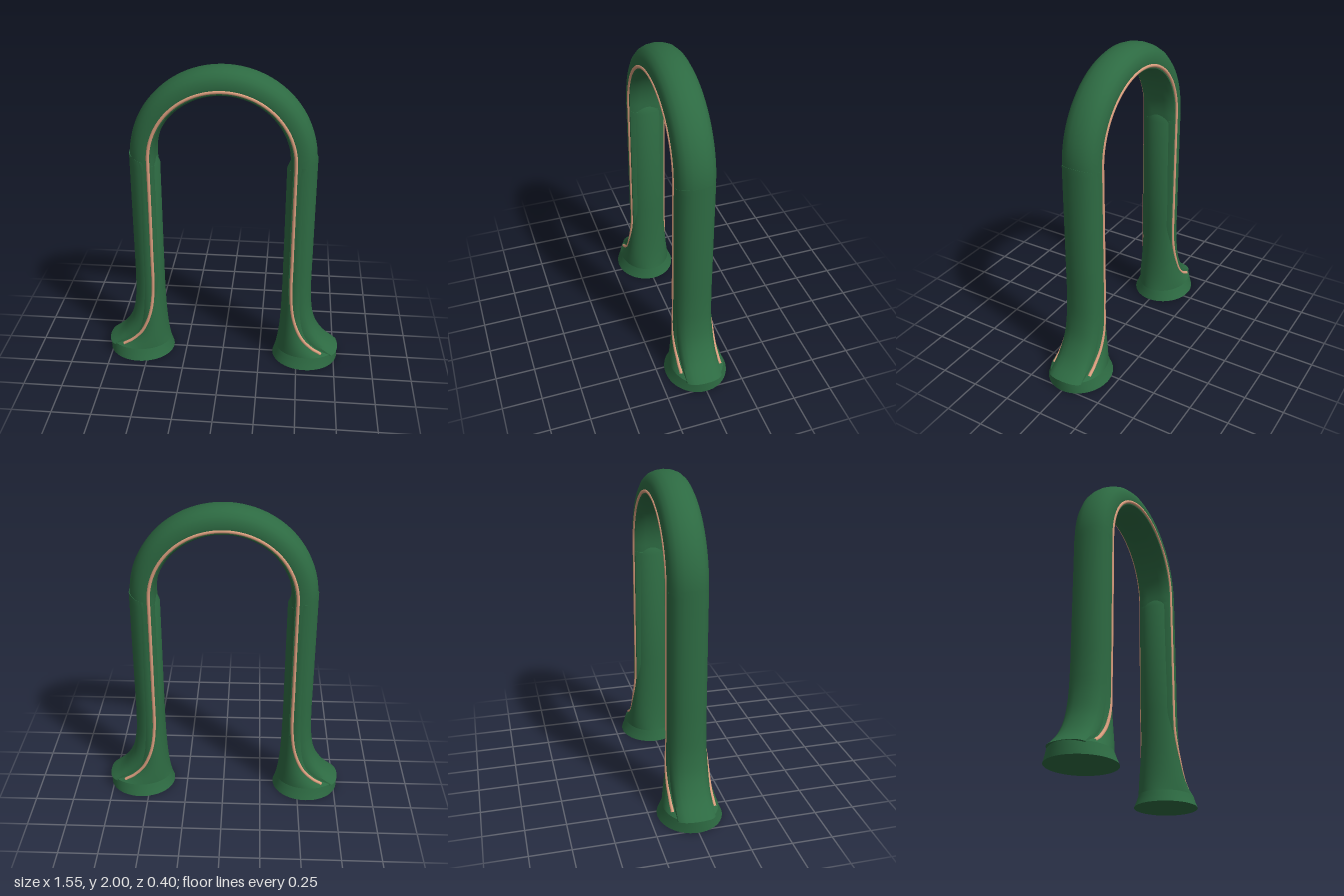
import * as THREE from 'three';
import { toCreasedNormals } from 'three/addons/utils/BufferGeometryUtils.js';

const V = (x, y, z = 0) => new THREE.Vector3(x, y, z);

// Closed, capped skin over a list of equal-length rings
function loft(rings, crease = 0.6) {
  const n = rings[0].length, pos = [], idx = [];
  const centre = (r) => r.reduce((s, p) => s.add(p), V(0, 0)).divideScalar(n);
  rings.forEach((r) => r.forEach((p) => pos.push(p.x, p.y, p.z)));
  for (let i = 0; i < rings.length - 1; i++) {
    for (let j = 0; j < n; j++) {
      const k = (j + 1) % n;
      const a = i * n + j, b = i * n + k, c = b + n, d = a + n;
      idx.push(a, d, c, a, c, b);
    }
  }
  const first = rings.length * n, last = (rings.length - 1) * n;
  for (const r of [rings[0], rings[rings.length - 1]]) {
    const c = centre(r);
    pos.push(c.x, c.y, c.z);
  }
  for (let j = 0; j < n; j++) {
    const k = (j + 1) % n;
    idx.push(first, j, k, first + 1, last + k, last + j);
  }
  const g = new THREE.BufferGeometry();
  g.setAttribute('position', new THREE.Float32BufferAttribute(pos, 3));
  g.setIndex(idx);
  return toCreasedNormals(g, crease);
}

// Domed band section: u runs from the seam (0) to the crown (1)
const HALF = [[1, 0], [0.965, 0.04], [0.86, 0.075], [0.68, 0.1], [0.45, 0.115], [0.2, 0.118],
  [0, 0.118], [-0.14, 0.112], [-0.25, 0.085], [-0.28, 0.045], [-0.28, 0]];
const SECTION = [...HALF, ...HALF.slice(1, -1).reverse().map(([u, z]) => [u, -z])];
const bandRing = (seam, crown) => SECTION.map(([u, z]) => seam.clone().lerp(crown, u).setZ(z));

// Flared leg: inner edge, outer edge and half depth at height y
function flare(y) {
  const xi = 0.39 - 0.052 * Math.exp(-y / 0.15);
  const xo = 0.56 + 0.212 * Math.exp(-Math.max(0, y - 0.075) / 0.08);
  return { cx: (xi + xo) / 2, rx: (xo - xi) / 2, rz: 0.118 + 0.082 * Math.exp(-y / 0.17) };
}
function flareRing(y, trim = 0) {
  const { cx, rx, rz } = flare(y), ring = [];
  for (let j = 0; j < 48; j++) {
    const a = (j / 48) * Math.PI * 2;
    ring.push(V(cx + trim / 2 + (rx - trim / 2) * Math.cos(a), y, rz * Math.sin(a)));
  }
  return ring;
}

export function createModel() {
  const green = new THREE.MeshStandardMaterial({ color: 0x2d6a42 });
  green.name = 'green';
  const copper = new THREE.MeshStandardMaterial({ color: 0xdc9f7f });
  copper.name = 'copper';
  const model = new THREE.Group();
  model.name = 'archHandle';
  const add = (parent, name, geometry, material) => {
    const mesh = new THREE.Mesh(geometry, material);
    mesh.name = name;
    parent.add(mesh);
  };

  const R = 0.445, CROWN = 0.57, CY = 1.43;

  // Paired seam and crown curves of the leg band, from foot to top
  const seam = new THREE.CatmullRomCurve3([V(0.70, 0.06), V(0.66, 0.088), V(0.6, 0.125), V(0.53, 0.2),
    V(0.475, 0.33), V(0.45, 0.5), V(0.446, 0.8), V(R, 1.1), V(R, 1.4)]);
  const crown = new THREE.CatmullRomCurve3([V(0.775, 0.077), V(0.70, 0.135), V(0.655, 0.19), V(0.61, 0.28),
    V(0.585, 0.4), V(0.576, 0.55), V(0.575, 0.8), V(0.575, 1.1), V(0.575, 1.45)]);

  const bandRings = [];
  for (let i = 0; i <= 64; i++) bandRings.push(bandRing(seam.getPoint(i / 64), crown.getPoint(i / 64)));

  const heights = [];
  for (let i = 0; i <= 24; i++) heights.push(0.075 + 0.525 * (i / 24) ** 1.6);
  const legRings = [...heights, 1.37].map((y) => flareRing(y));
  legRings.push(flareRing(1.42, 0.022));

  // Two legs, the second turned half way round
  for (const side of ['left', 'right']) {
    const leg = new THREE.Group();
    leg.name = side + 'Leg';
    add(leg, 'footBase', loft([0, 0.025, 0.05, 0.075].map((y) => flareRing(y))), green);
    add(leg, 'flaredLeg', loft(legRings), green);
    add(leg, 'outerBand', loft(bandRings), green);
    if (side === 'right') leg.rotation.y = Math.PI;
    model.add(leg);
  }

  // Arch, sunk slightly into the leg tops
  const archRings = [bandRing(V(R, 1.36), V(CROWN, 1.36))];
  for (let i = 0; i <= 72; i++) {
    const a = (i / 72) * Math.PI, c = Math.cos(a), s = Math.sin(a);
    archRings.push(bandRing(V(R * c, CY + R * s), V(CROWN * c, CY + CROWN * s)));
  }
  archRings.push(bandRing(V(-R, 1.36), V(-CROWN, 1.36)));
  add(model, 'arch', loft(archRings), green);

  // Copper trim along the seam, on front and back
  const rise = [];
  for (let i = 0; i <= 40; i++) {
    const p = seam.getPoint(0.125 + 0.875 * (i / 40));
    const { cx, rx, rz } = flare(p.y);
    const z = rz * Math.sqrt(Math.max(0, 1 - ((p.x - cx) / rx) ** 2));
    rise.push(p.setZ(Math.max(0.118, z) - 0.004));
  }
  const path = [...rise];
  for (let i = 0; i <= 40; i++) {
    const a = (i / 40) * Math.PI;
    path.push(V(R * Math.cos(a), CY + R * Math.sin(a), 0.114));
  }
  rise.slice().reverse().forEach((p) => path.push(V(-p.x, p.y, p.z)));
  const trim = new THREE.TubeGeometry(new THREE.CatmullRomCurve3(path), 280, 0.011, 8);
  add(model, 'frontTrim', trim, copper);
  add(model, 'backTrim', trim.clone().rotateY(Math.PI), copper);

  return model;
}
